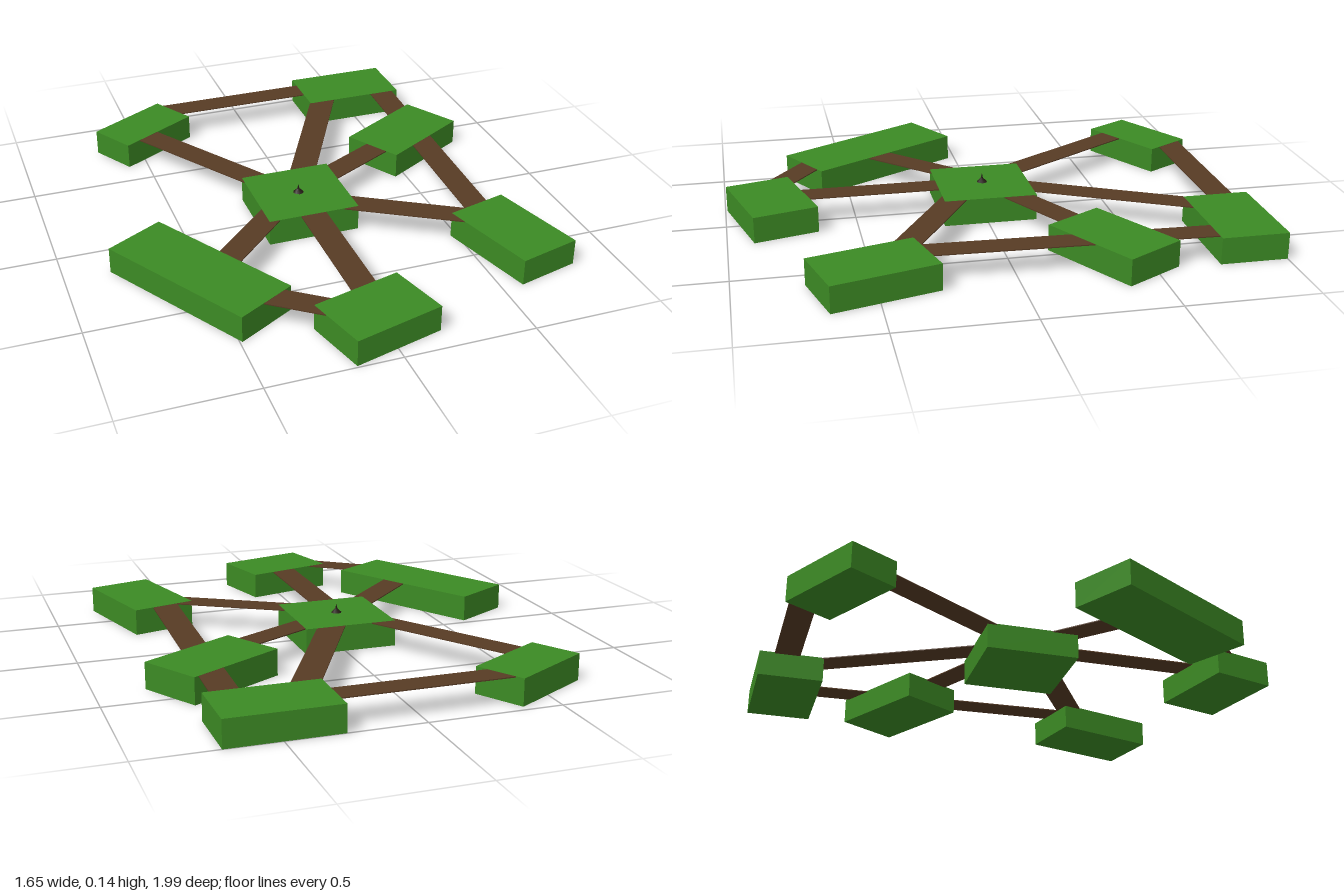
import * as THREE from 'three';

export function createModel() {
  const model = new THREE.Group();
  const green = new THREE.MeshStandardMaterial({ name: 'grass green', color: 0x3c8a24 });
  const brown = new THREE.MeshStandardMaterial({ name: 'wood brown', color: 0x573b24 });
  const dark = new THREE.MeshStandardMaterial({ name: 'dark ornament', color: 0x241c14 });
  const H = 0.102;

  const add = (name, geometry, material, x, y, z, turn = 0) => {
    const mesh = new THREE.Mesh(geometry, material);
    mesh.name = name;
    mesh.position.set(x, y, z);
    mesh.rotation.y = turn;
    model.add(mesh);
    return mesh;
  };

  // Platforms: name, x, z, width, depth, turn in degrees
  [
    ['centrePlatform', -0.025, -0.01, 0.363, 0.363, 0],
    ['backLeftPlatform', 0.495, -0.872, 0.418, 0.257, 0],
    ['backRightPlatform', -0.471, -0.794, 0.362, 0.2, 30],
    ['leftPlatform', 0.574, -0.376, 0.415, 0.253, 30],
    ['frontLeftPlatform', 0.651, 0.509, 0.252, 0.413, 15],
    ['frontPlatform', -0.027, 0.823, 0.36, 0.255, 15],
    ['longRightPlatform', -0.548, 0.381, 0.255, 0.67, 30],
  ].forEach(([name, x, z, w, d, deg]) =>
    add(name, new THREE.BoxGeometry(w, H, d), green, x, H / 2, z, THREE.MathUtils.degToRad(deg)));

  // Thin walkways between platform edges, tucked a little into each platform
  const walkway = (name, x1, z1, x2, z2) => {
    const length = Math.hypot(x2 - x1, z2 - z1) + 0.12;
    add(name, new THREE.BoxGeometry(length, 0.004, 0.102), brown,
      (x1 + x2) / 2, H - 0.0025, (z1 + z2) / 2, Math.atan2(z1 - z2, x2 - x1));
  };
  walkway('frontWalkway', -0.028, 0.17, -0.028, 0.68);
  walkway('leftSideWalkway', 0.627, -0.743, 0.593, 0.3);
  walkway('backWalkway', -0.32, -0.89, 0.286, -0.89);
  walkway('backRightWalkway', -0.474, -0.675, -0.164, -0.183);
  walkway('backLeftWalkway', 0.339, -0.743, 0.058, -0.193);
  walkway('leftWalkway', 0.153, -0.119, 0.397, -0.251);
  walkway('frontLeftWalkway', 0.127, 0.13, 0.508, 0.362);
  walkway('rightWalkway', -0.19, 0.124, -0.413, 0.347);
  walkway('frontRightWalkway', -0.344, 0.653, -0.19, 0.77);

  // Small ornament on the centre platform
  add('ornamentBase', new THREE.ConeGeometry(0.021, 0.02, 8), dark, -0.028, H + 0.01, -0.01);
  add('ornamentPeak', new THREE.ConeGeometry(0.008, 0.036, 6), dark, -0.028, H + 0.018, -0.01);
  return model;
}
